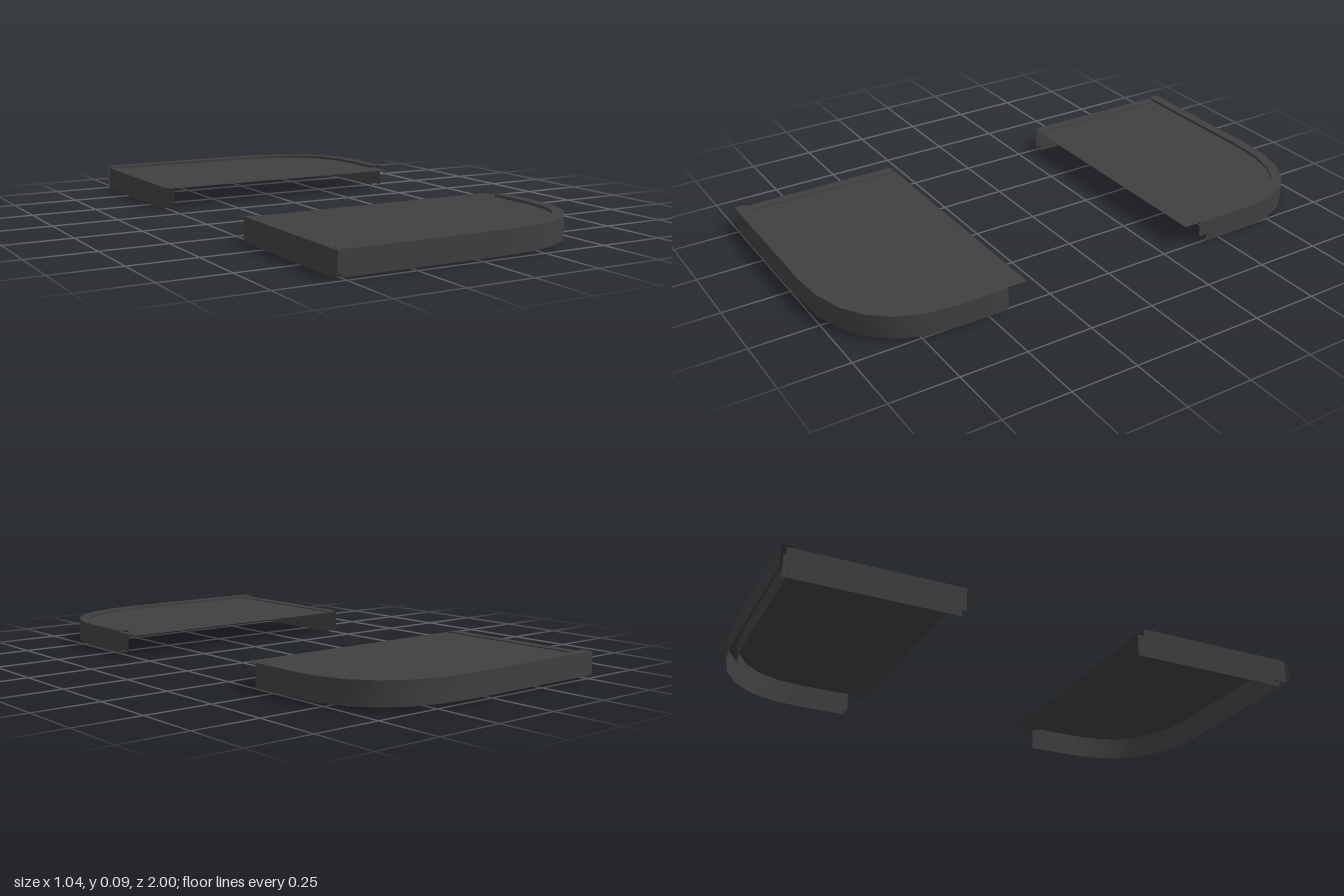
import * as THREE from 'three';

const material = new THREE.MeshStandardMaterial({ color: 0x404040, side: THREE.DoubleSide });
const HALF = 0.02; // half the width of an edge channel

// Rim centre line as (x, z): straight front, rounded corner, short right side
function rimPath() {
  const corner = new THREE.CubicBezierCurve(
    new THREE.Vector2(0.08, 0.98), new THREE.Vector2(0.357, 0.98),
    new THREE.Vector2(0.5, 0.858), new THREE.Vector2(0.5, 0.62));
  return [new THREE.Vector2(-0.52, 0.98), ...corner.getPoints(6), new THREE.Vector2(0.5, 0.43)];
}

// Shift a path sideways, mitred at its points
function offset(path, d) {
  return path.map((p, i) => {
    const a = path[Math.max(i - 1, 0)], b = path[Math.min(i + 1, path.length - 1)];
    const d1 = (i > 0 ? p.clone().sub(a) : b.clone().sub(p)).normalize();
    const d2 = (i < path.length - 1 ? b.clone().sub(p) : d1.clone()).normalize();
    const t = d1.clone().add(d2).normalize();
    const k = d / t.dot(d1);
    return new THREE.Vector2(p.x - t.y * k, p.y + t.x * k);
  });
}

// Smooth band between two paths at given heights; side mirrors it in z
function ribbon(pathA, yA, pathB, yB, side) {
  const pos = [], idx = [];
  pathA.forEach((a, i) => {
    const b = pathB[i];
    pos.push(a.x, yA, a.y * side, b.x, yB, b.y * side);
    if (i === 0) return;
    const q = 2 * (i - 1);
    if (side > 0) idx.push(q, q + 2, q + 1, q + 1, q + 2, q + 3);
    else idx.push(q, q + 1, q + 2, q + 1, q + 3, q + 2);
  });
  const geo = new THREE.BufferGeometry();
  geo.setAttribute('position', new THREE.Float32BufferAttribute(pos, 3));
  geo.setIndex(idx);
  geo.computeVertexNormals();
  return geo;
}

// Edge channel: outer wall, top and inner wall, open below and at the ends
function channel(name, path, bottom, top, side) {
  const group = new THREE.Group();
  group.name = name;
  const outer = offset(path, HALF), inner = offset(path, -HALF);
  const add = (part, ...args) => {
    const mesh = new THREE.Mesh(ribbon(...args, side), material);
    mesh.name = part;
    group.add(mesh);
  };
  add('outerWall', outer, bottom, outer, top);
  add('topStrip', outer, top, inner, top);
  add('innerWall', inner, top, inner, bottom);
  return group;
}

function panel(side) {
  const group = new THREE.Group();
  group.name = side > 0 ? 'frontPanel' : 'backPanel';
  const rim = rimPath();

  // Thin flat sheet reaching to the middle of the channels
  const outline = rim.slice(1, -1).concat([
    new THREE.Vector2(0.5, 0.345), new THREE.Vector2(-0.5, 0.345), new THREE.Vector2(-0.5, 0.98)]);
  const shape = new THREE.Shape(outline.map((p) => new THREE.Vector2(p.x, -p.y * side)));
  const sheet = new THREE.Mesh(new THREE.ShapeGeometry(shape).rotateX(-Math.PI / 2), material);
  sheet.name = 'sheet';
  sheet.position.y = 0.084;
  group.add(sheet);

  // Curved rim, and the lower straight channel along the right-hand side
  group.add(channel('curvedRim', rim, 0.01, 0.095, side));
  const straight = [new THREE.Vector2(-0.5, 0.35), new THREE.Vector2(-0.5, 0.98)];
  group.add(channel('straightRim', straight, 0, 0.088, side));
  return group;
}

export function createModel() {
  const model = new THREE.Group();
  model.name = 'panelPair';
  for (const side of [1, -1]) model.add(panel(side));
  return model;
}
